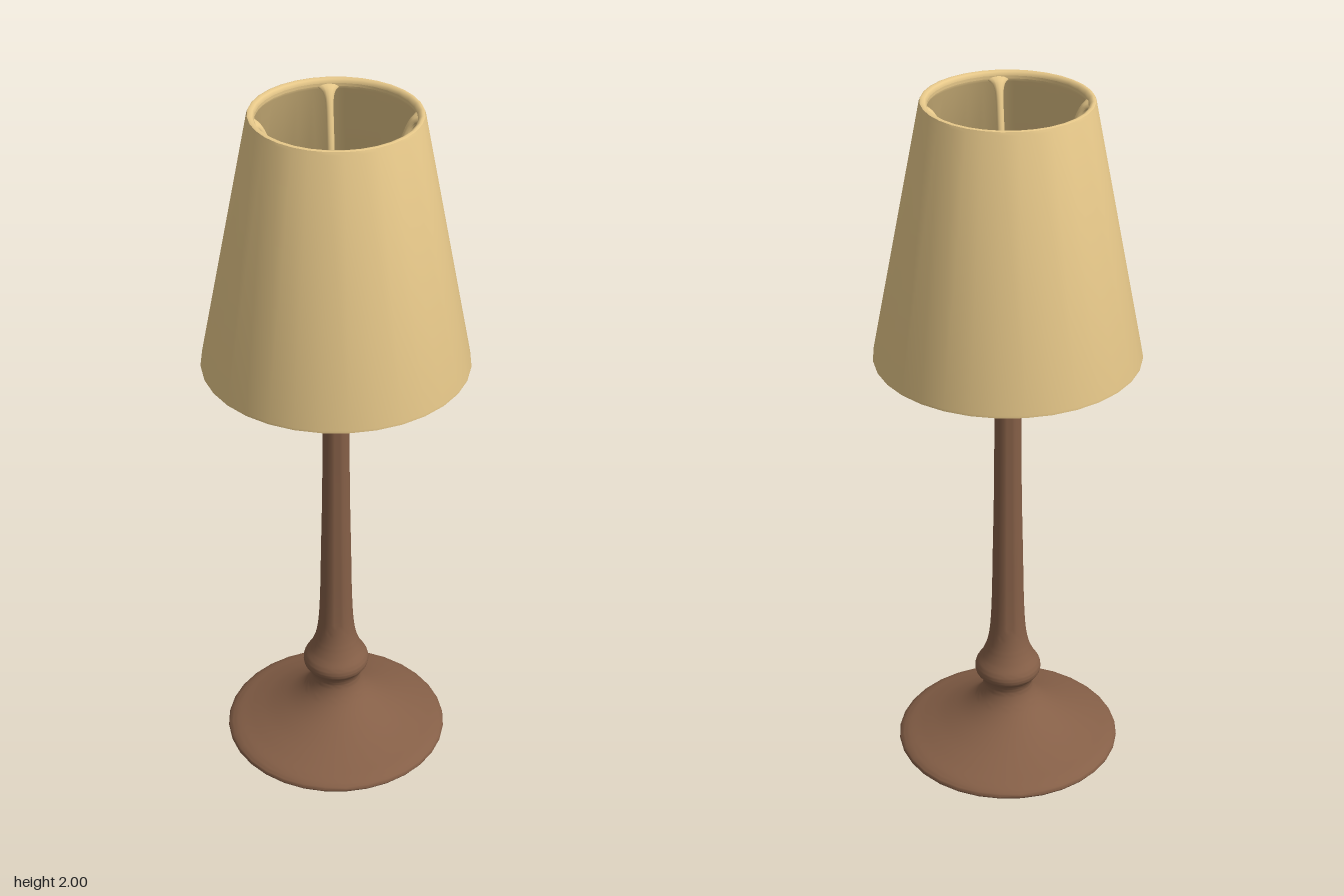
import * as THREE from 'three';
import { toCreasedNormals } from 'three/addons/utils/BufferGeometryUtils.js';

const V2 = (p) => new THREE.Vector2(p[0], p[1]);

function lathe(points, segments = 32) {
  return toCreasedNormals(new THREE.LatheGeometry(points.map(V2), segments), 0.75);
}

// Flattened arm in the x-y plane; width flares towards the rim.
function armGeometry() {
  const path = new THREE.CatmullRomCurve3([
    [0.215, 1.982], [0.195, 1.968], [0.17, 1.91], [0.14, 1.8], [0.122, 1.62], [0.09, 1.52], [0.02, 1.48],
  ].map(([x, y]) => new THREE.Vector3(x, y, 0)));
  const geo = new THREE.CylinderGeometry(1, 1, 1, 12, 36);
  const pos = geo.attributes.position;
  for (let i = 0; i < pos.count; i++) {
    const t = 0.5 - pos.getY(i);
    const c = path.getPoint(t), d = path.getTangent(t);
    const flare = Math.max(0, (c.x - 0.17) / 0.045);
    const halfWidth = 0.01 + 0.035 * flare ** 3;
    const depth = pos.getX(i) * 0.009;
    pos.setXYZ(i, c.x - d.y * depth, c.y + d.x * depth, pos.getZ(i) * halfWidth);
  }
  geo.computeVertexNormals();
  return geo;
}

export function createModel() {
  const lamp = new THREE.Group();
  lamp.name = 'tableLamp';
  const wood = new THREE.MeshStandardMaterial({ color: 0x855f47 });
  const fabric = new THREE.MeshStandardMaterial({ color: 0xe8c98a, side: THREE.DoubleSide });
  const grey = new THREE.MeshStandardMaterial({ color: 0xcccccc });

  const add = (parent, name, geometry, material) => {
    const mesh = new THREE.Mesh(geometry, material);
    mesh.name = name;
    parent.add(mesh);
    return mesh;
  };

  // Turned foot, collar and slender column in a smooth curve
  const turned = new THREE.SplineCurve([
    [0.29, 0.01], [0.312, 0.014], [0.32, 0.028], [0.3, 0.045], [0.25, 0.064], [0.19, 0.09],
    [0.13, 0.125], [0.09, 0.162], [0.072, 0.2], [0.077, 0.228], [0.093, 0.25], [0.093, 0.274],
    [0.075, 0.305], [0.06, 0.345], [0.051, 0.4], [0.046, 0.5], [0.043, 0.65], [0.039, 0.85],
    [0.037, 1.1], [0.037, 1.5],
  ].map(V2)).getPoints(90).map((p) => [p.x, p.y]);
  add(lamp, 'baseAndStem', lathe(
    [[0, 0], [0.205, 0], [0.215, 0.006], ...turned, [0, 1.5]]), wood);

  // Bulb with a short neck
  const bulb = new THREE.Group();
  bulb.name = 'bulb';
  lamp.add(bulb);
  add(bulb, 'bulbGlobe', new THREE.SphereGeometry(0.096, 32, 24), grey).position.y = 1.64;
  add(bulb, 'bulbNeck', new THREE.CylinderGeometry(0.055, 0.034, 0.1, 32), grey).position.y = 1.53;

  // Hollow tapered shade with rolled rims
  const shade = new THREE.Group();
  shade.name = 'shade';
  lamp.add(shade);
  add(shade, 'shadeWall', lathe([
    [0.35, 1.28], [0.356, 1.275], [0.363, 1.277], [0.363, 1.284],
    [0.227, 1.99], [0.224, 1.998], [0.218, 2], [0.211, 1.997], [0.206, 1.988], [0.206, 1.98],
    [0.213, 1.97], [0.35, 1.28],
  ]), fabric);

  // Four arms holding the shade to the stem
  const arm = armGeometry();
  for (let i = 0; i < 4; i++) {
    add(shade, 'shadeArm' + (i + 1), arm, fabric).rotation.y = (i * Math.PI) / 2;
  }

  return lamp;
}
